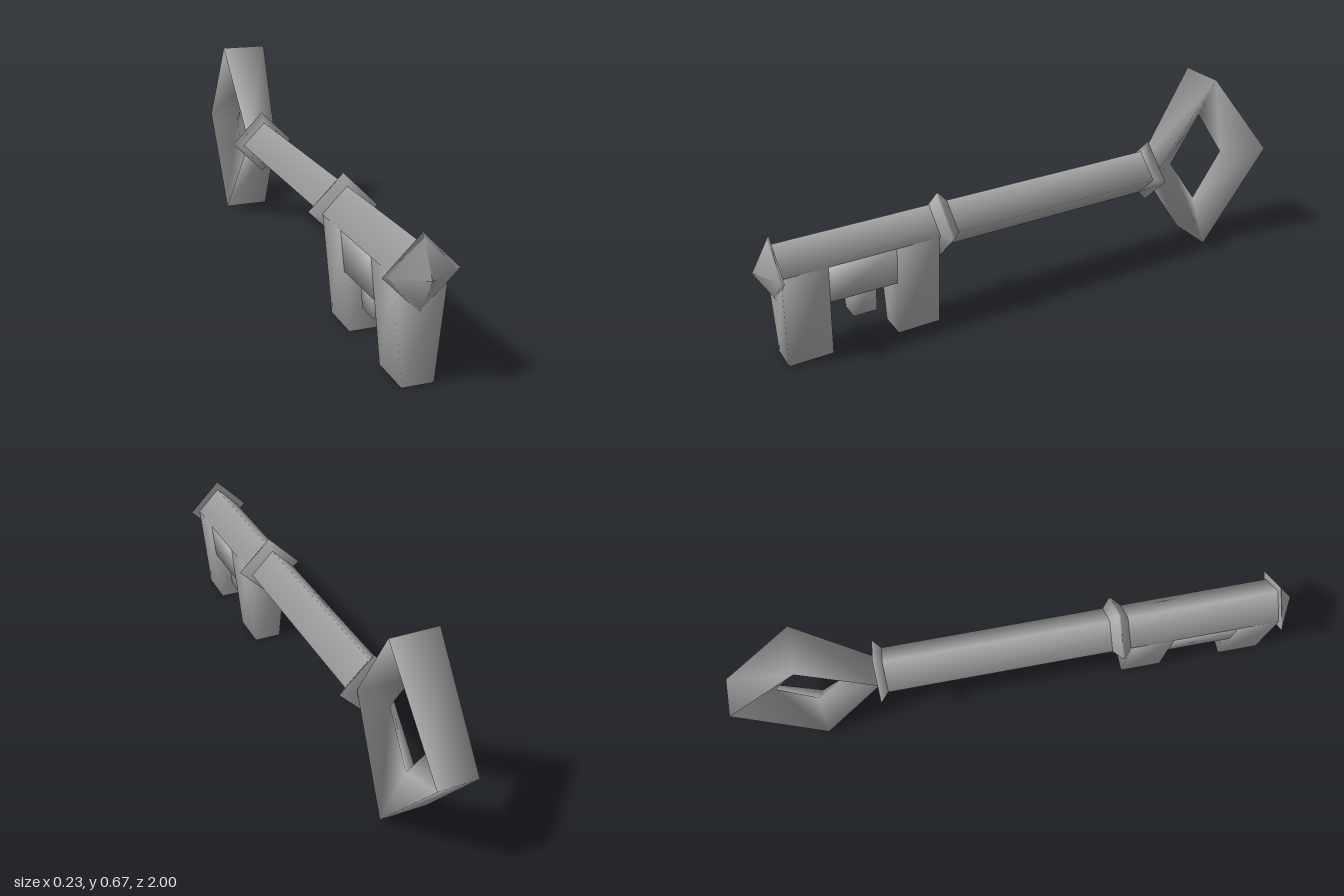
import * as THREE from 'three';
import { mergeVertices } from 'three/addons/utils/BufferGeometryUtils.js';

const AXIS_Y = 0.337;

export function createModel() {
  const group = new THREE.Group();
  const metal = new THREE.MeshStandardMaterial({ color: 0xa6a6a6 });
  metal.name = 'grey metal';

  const add = (name, geometry) => {
    const mesh = new THREE.Mesh(geometry, metal);
    mesh.name = name;
    group.add(mesh);
    return mesh;
  };

  // Four-sided turned part along z; profile points are [radius, z]
  const turned = (name, profile) => {
    const g = new THREE.LatheGeometry(profile.map(([r, z]) => new THREE.Vector2(r, z)), 4);
    g.rotateX(Math.PI / 2);
    add(name, g).position.y = AXIS_Y;
  };
  turned('shaft', [[0.083, -0.48], [0.083, 0.935]]);
  turned('rearCollar', [[0, -0.485], [0.117, -0.485], [0.083, -0.455]]);
  turned('middleCollar', [[0.083, 0.335], [0.117, 0.365], [0.117, 0.372], [0.083, 0.4]]);
  turned('tip', [[0, 0.932], [0.117, 0.935], [0.102, 0.943], [0, 1]]);

  // Softly shaded block that narrows towards the bottom
  const block = (name, z0, z1, yTop, yBottom, wTop, wBottom) => {
    let g = new THREE.BoxGeometry(2, yTop - yBottom, z1 - z0);
    g.translate(0, (yTop + yBottom) / 2, (z0 + z1) / 2);
    const p = g.attributes.position;
    for (let i = 0; i < p.count; i++) {
      p.setX(i, p.getX(i) * (p.getY(i) > (yTop + yBottom) / 2 ? wTop : wBottom));
    }
    g.deleteAttribute('normal');
    g.deleteAttribute('uv');
    g = mergeVertices(g);
    g.computeVertexNormals();
    add(name, g);
  };
  block('frontBit', 0.785, 0.935, AXIS_Y, 0, 0.083, 0.05);
  block('rearBit', 0.405, 0.555, AXIS_Y, 0, 0.083, 0.05);
  block('bitWeb', 0.555, 0.785, AXIS_Y, 0.203, 0.083, 0.069);
  block('smallTooth', 0.62, 0.702, 0.21, 0.105, 0.045, 0.036);

  // Diamond bow: triangular section, wide outside and sharp at the hole
  // Each corner: outer z, outer y, outer half width, inner z, inner y
  const corners = [
    [-0.483, AXIS_Y, 0.055, -0.598, AXIS_Y],
    [-0.716, 0.672, 0.083, -0.716, 0.51],
    [-1, AXIS_Y, 0.068, -0.834, AXIS_Y],
    [-0.716, 0.006, 0.083, -0.716, 0.168],
  ];
  const positions = [], index = [];
  corners.forEach(([z, y, w, zi, yi], i) => {
    positions.push(w, y, z, -w, y, z, 0, yi, zi);
    const a = i * 3, b = ((i + 1) % 4) * 3;
    for (let k = 0; k < 3; k++) {
      const n = (k + 1) % 3;
      index.push(a + k, b + k, a + n, a + n, b + k, b + n);
    }
  });
  const bow = new THREE.BufferGeometry();
  bow.setAttribute('position', new THREE.Float32BufferAttribute(positions, 3));
  bow.setIndex(index);
  bow.computeVertexNormals();
  add('bow', bow);

  return group;
}
